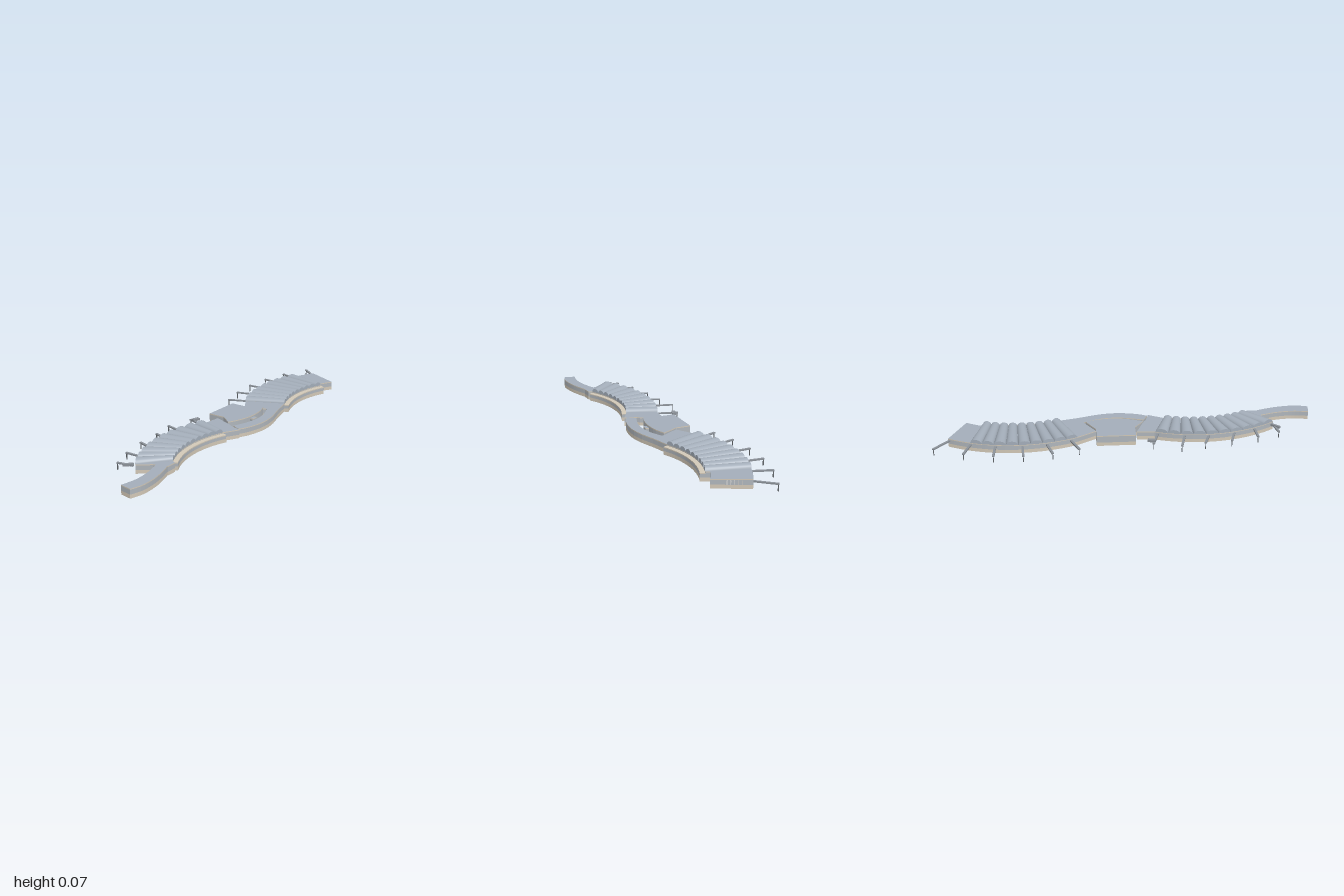
import * as THREE from 'three';

const mat = (name, color, side = THREE.FrontSide) => {
  const m = new THREE.MeshStandardMaterial({ color, side });
  m.name = name;
  return m;
};

export function createModel() {
  const roofMat = mat('slate roof', 0xa3adb9, THREE.DoubleSide);
  const stone = mat('beige stone', 0xd2c8b7, THREE.DoubleSide);
  const glass = mat('grey glazing', 0xafb5bb, THREE.DoubleSide);
  const beamMat = mat('grey steel', 0x8c9299);
  const postMat = mat('dark steel', 0x606468);
  const frame = mat('light frame', 0xd8d8d6);

  const model = new THREE.Group();
  model.name = 'curvedBuilding';
  const add = (parent, name, geo, material) => {
    const mesh = new THREE.Mesh(geo, material);
    mesh.name = name;
    parent.add(mesh);
    return mesh;
  };
  const group = (name) => {
    const g = new THREE.Group();
    g.name = name;
    model.add(g);
    return g;
  };

  // Plan helpers: points are [x, z], angles in degrees measured from -z
  const polar = (c, r, deg) => {
    const a = THREE.MathUtils.degToRad(deg);
    return [c[0] + r * Math.sin(a), c[1] - r * Math.cos(a)];
  };
  const arc = (c, r, a0, a1, n = 20) =>
    Array.from({ length: n + 1 }, (_, i) => polar(c, r, a0 + ((a1 - a0) * i) / n));
  const smooth = (pts, n = 14) =>
    new THREE.SplineCurve(pts.map((p) => new THREE.Vector2(...p))).getPoints(n).map((p) => [p.x, p.y]);

  // Flat slab over a plan outline
  const slab = (outline, y0, y1) => {
    const shape = new THREE.Shape(outline.map(([x, z]) => new THREE.Vector2(x, -z)));
    const geo = new THREE.ExtrudeGeometry(shape, { depth: y1 - y0, bevelEnabled: false });
    return geo.rotateX(-Math.PI / 2).translate(0, y0, 0);
  };

  // Thin vertical wall following a closed outline
  const wall = (outline, y0, y1) => {
    const pos = [];
    outline.forEach(([x0, z0], i) => {
      const [x1, z1] = outline[(i + 1) % outline.length];
      pos.push(x0, y0, z0, x1, y1, z1, x1, y0, z1, x0, y0, z0, x0, y1, z0, x1, y1, z1);
    });
    const geo = new THREE.BufferGeometry();
    geo.setAttribute('position', new THREE.Float32BufferAttribute(pos, 3));
    geo.computeVertexNormals();
    return geo;
  };

  // A wing: stone base, glazing band and a flat roof with stone fascia
  const wing = (name, outline, top = 0.047, topMat = roofMat) => {
    const g = group(name);
    add(g, 'plinth', wall(outline, 0, 0.019), stone);
    add(g, 'windowBand', wall(outline, 0.019, top - 0.005), glass);
    add(g, 'flatRoof', slab(outline, top - 0.005, top), [topMat, stone]);
  };

  // One tapering barrel vault between two front points and two back points
  const vault = (f0, f1, b0, b1, y, h) => {
    const n = 10;
    const ring = (p, q) =>
      Array.from({ length: n + 1 }, (_, i) => {
        const a = (Math.PI * i) / n;
        const t = (1 - Math.cos(a)) / 2;
        return [p[0] + (q[0] - p[0]) * t, y + h * Math.sin(a), p[1] + (q[1] - p[1]) * t];
      });
    const front = ring(f0, f1), back = ring(b0, b1);
    const shell = new THREE.BufferGeometry();
    shell.setAttribute('position', new THREE.Float32BufferAttribute([...front, ...back].flat(), 3));
    const idx = [];
    for (let i = 0; i < n; i++) idx.push(i, i + 1, n + 1 + i, i + 1, n + 2 + i, n + 1 + i);
    shell.setIndex(idx);
    shell.computeVertexNormals();
    const capPos = [];
    for (let i = 1; i < n; i++) {
      capPos.push(...front[0], ...front[i + 1], ...front[i]);
      capPos.push(...back[0], ...back[i], ...back[i + 1]);
    }
    const caps = new THREE.BufferGeometry();
    caps.setAttribute('position', new THREE.Float32BufferAttribute(capPos, 3));
    caps.computeVertexNormals();
    return [shell, caps];
  };
  const vaultRow = (name, c, rf, rb, [f0, f1], [b0, b1], count) => {
    const g = group(name);
    const at = (r, a0, a1, i) => polar(c, r, a0 + ((a1 - a0) * i) / count);
    for (let i = 0; i < count; i++) {
      const [shell, caps] = vault(at(rf, f0, f1, i), at(rf, f0, f1, i + 1),
        at(rb, b0, b1, i), at(rb, b0, b1, i + 1), 0.046, 0.021);
      add(g, 'barrelVault', shell, roofMat);
      add(g, 'vaultEnd', caps, roofMat);
    }
  };

  // Left-hand wing with its end flat roof
  const cA = [-0.36, 0.62];
  wing('westWing', [
    ...arc(cA, 0.688, -38, 18.5),
    [-0.05, -0.03], [-0.09, 0.085], [-0.1, 0.1], [-0.115, 0.165],
    ...arc(cA, 0.52, 18.5, -33),
    [-0.65, 0.205], [-0.705, 0.21], [-0.73, 0.14],
  ]);
  vaultRow('westVaults', cA, 0.519, 0.689, [-33, 18], [-37.5, 18], 10);

  // Right-hand wing
  const cB = [0.6, 0.565];
  wing('eastWing', [...arc(cB, 0.735, -27.5, 26.6), ...arc(cB, 0.542, 28.3, 19, 5), ...arc(cB, 0.52, 19, -27.5)]);
  vaultRow('eastVaults', cB, 0.519, 0.736, [-27.5, 18.5], [-27.5, 16.5], 9);

  // Stone ledges along the concave fronts
  wing('westLedge', [...arc(cA, 0.52, -33, 18.5), ...arc(cA, 0.495, 18.5, -33)], 0.04, stone);
  wing('eastLedge', [...arc(cB, 0.52, -27.5, 19), ...arc(cB, 0.495, 19, -27.5)], 0.04, stone);

  // Curved corridor that swings round the courtyard
  wing('corridor', [
    ...smooth([[-0.11, 0.155], [-0.05, 0.178], [0.05, 0.19], [0.15, 0.175], [0.26, 0.135], [0.36, 0.104]]),
    [0.26, -0.087], [0.165, -0.02], [0.23, 0.075],
    ...smooth([[0.225, 0.085], [0.15, 0.12], [0.07, 0.135], [0, 0.13], [-0.09, 0.108]]),
  ]);
  wing('courtyardPorch', [[0.055, 0.095], [0.09, 0.095], [0.09, 0.118], [0.055, 0.118]]);

  // Central hall
  wing('centralHall', [
    [-0.045, -0.09], [0.16, -0.1], [0.165, -0.02], [0.22, 0.065],
    ...smooth([[0.21, 0.07], [0.15, 0.092], [0.07, 0.102], [-0.01, 0.093], [-0.085, 0.068]], 10),
    [-0.04, 0],
  ], 0.058);

  // Narrow curved tail
  wing('tailWing', [
    ...smooth([[-1, 0.255], [-0.93, 0.267], [-0.84, 0.255], [-0.76, 0.23], [-0.69, 0.2]]),
    [-0.72, 0.15],
    ...smooth([[-0.74, 0.16], [-0.82, 0.188], [-0.91, 0.201], [-0.993, 0.193]]),
  ]);

  // Straight horizontal bar between two plan points
  const bar = (parent, name, [x0, z0], [x1, z1], y, w, h) => {
    const geo = new THREE.BoxGeometry(Math.hypot(x1 - x0, z1 - z0), h, w);
    const mesh = add(parent, name, geo, beamMat);
    mesh.position.set((x0 + x1) / 2, y, (z0 + z1) / 2);
    mesh.rotation.y = -Math.atan2(z1 - z0, x1 - x0);
  };

  // Rear beams, each carried by a slim post at its outer end
  const beams = [
    [[-0.78, 0.06], [-0.8, -0.025]], [[-0.675, 0.01], [-0.683, -0.08]],
    [[-0.562, -0.035], [-0.54, -0.122]], [[-0.425, -0.062], [-0.402, -0.143]],
    [[-0.3, -0.06], [-0.278, -0.175]], [[-0.16, -0.035], [-0.133, -0.148]],
    [[0.3, -0.09], [0.247, -0.2]], [[0.417, -0.14], [0.38, -0.244]],
    [[0.54, -0.16], [0.528, -0.268]], [[0.679, -0.16], [0.679, -0.268]],
    [[0.807, -0.135], [0.833, -0.244]], [[0.92, -0.09], [0.994, -0.188]],
  ];
  const pergola = group('rearBeams');
  beams.forEach(([a, b]) => {
    bar(pergola, 'beam', a, b, 0.035, 0.012, 0.007);
    const post = add(pergola, 'post', new THREE.BoxGeometry(0.004, 0.034, 0.004), postMat);
    post.position.set(b[0] + (a[0] - b[0]) * 0.03, 0.017, b[1] + (a[1] - b[1]) * 0.03);
  });
  bar(pergola, 'sideArm', [-0.145, -0.125], [-0.105, -0.115], 0.04, 0.02, 0.012);
  bar(pergola, 'sideArm', [-0.81, 0.02], [-0.77, 0.055], 0.038, 0.014, 0.012);

  // Window mullions on the far gable
  const mullions = group('gableMullions');
  for (let i = 0; i < 5; i++) {
    const t = 0.25 + i * 0.09;
    const m = add(mullions, 'mullion', new THREE.BoxGeometry(0.004, 0.022, 0.003), frame);
    m.position.set(0.929 - 0.072 * t, 0.03, -0.092 + 0.18 * t);
  }
  return model;
}
